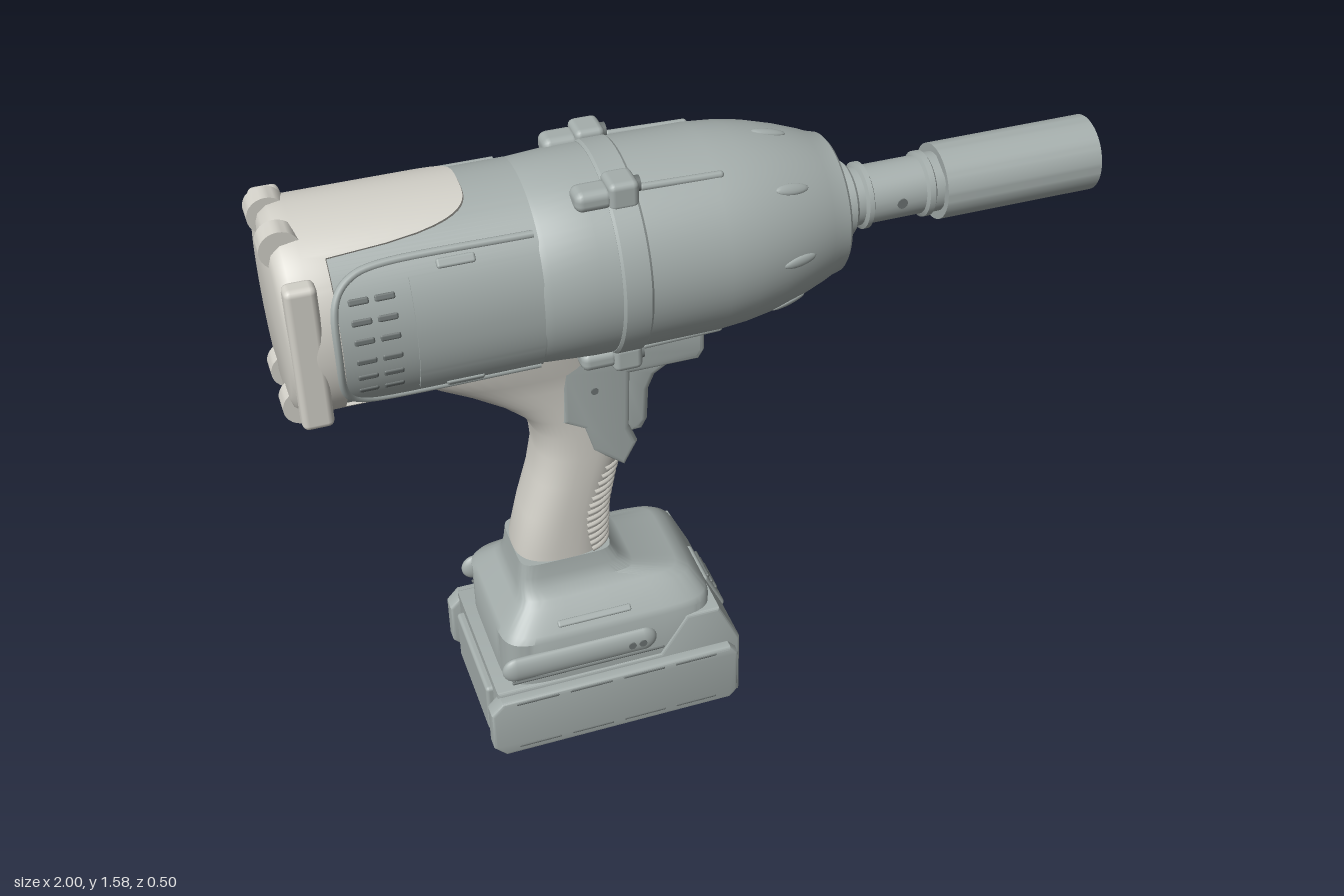
import * as THREE from 'three';
import { toCreasedNormals } from 'three/addons/utils/BufferGeometryUtils.js';
import { RoundedBoxGeometry } from 'three/addons/geometries/RoundedBoxGeometry.js';

const CY = 1.327; // height of the drive axis
const TAU = Math.PI * 2;
const body = new THREE.MeshStandardMaterial({ color: 0xa5aeac });
const pale = new THREE.MeshStandardMaterial({ color: 0xd2d0c8 });
const dark = new THREE.MeshStandardMaterial({ color: 0x6c7372 });

// Skin a list of rings with n points each, closing both ends
function loft(rings, crease = 0.6) {
  const n = rings[0].length, pos = [], idx = [];
  rings.forEach(r => r.forEach(p => pos.push(...p)));
  for (let i = 0; i < rings.length - 1; i++) for (let j = 0; j < n; j++) {
    const a = i * n + j, b = i * n + (j + 1) % n;
    idx.push(a, a + n, b, b, a + n, b + n);
  }
  [0, rings.length - 1].forEach(k => {
    const c = pos.length / 3, mid = [0, 1, 2].map(d => rings[k].reduce((s, p) => s + p[d], 0) / n);
    pos.push(...mid);
    for (let j = 0; j < n; j++) {
      const a = k * n + j, b = k * n + (j + 1) % n;
      if (k) idx.push(c, b, a); else idx.push(c, a, b);
    }
  });
  const g = new THREE.BufferGeometry();
  g.setAttribute('position', new THREE.Float32BufferAttribute(pos, 3));
  g.setIndex(idx);
  return toCreasedNormals(g, crease);
}

const pw = (v, e) => Math.sign(v) * Math.abs(v) ** (2 / e);
// Horizontal superellipse point for a row [y, rear x, front x, half depth]
const rowPoint = ([y, x0, x1, hz], t, e) =>
  [(x0 + x1) / 2 + (x1 - x0) / 2 * pw(Math.cos(t), e), y, hz * pw(Math.sin(t), e)];
const rowLoft = (rows, e, n = 48) =>
  loft(rows.map(r => Array.from({ length: n }, (_, j) => rowPoint(r, j / n * TAU, e))));

// Motor housing section; t runs from the top towards -z
const motorPoint = (x, t, off) =>
  [x, CY + (0.234 + off) * pw(Math.cos(t), 2.15), -(0.22 + off) * pw(Math.sin(t), 2.15)];
const motorLoft = list => loft(list.map(([x, off]) => Array.from({ length: 144 }, (_, j) => {
  const t = j / 144 * TAU;
  return motorPoint(typeof x === 'function' ? x(t) : x, t, off);
})));

// Raised plate on the motor side, with skirts around its edge
function sidePlate(half, x0, x1, off, sign) {
  const N = 32, rings = [];
  for (let i = 0; i <= N; i++) {
    const v = (i / N) * 2 - 1, t = sign * Math.PI / 2 + v * half;
    const inner = -0.015, a = x0(v);
    rings.push([motorPoint(a, t, inner), motorPoint(a, t, off), motorPoint(x1, t, off), motorPoint(x1, t, inner)]);
  }
  return loft(rings.reverse().map(r => r.reverse()).reverse(), 0.5);
}

function lathe(points, seg = 64) {
  const g = new THREE.LatheGeometry(points.map(([x, r]) => new THREE.Vector2(r, x)), seg);
  return toCreasedNormals(g.rotateZ(-Math.PI / 2).translate(0, CY, 0), 0.5);
}

// Side outline given thickness between -half and +half in z
function slab(points, half, bevel = 0.01) {
  const s = new THREE.Shape(points.map(p => new THREE.Vector2(...p)));
  const g = new THREE.ExtrudeGeometry(s, { depth: 2 * (half - bevel), bevelThickness: bevel,
    bevelSize: bevel, bevelOffset: -bevel, bevelSegments: 3 });
  return toCreasedNormals(g.translate(0, 0, bevel - half), 0.6);
}

export function createModel() {
  const root = new THREE.Group();
  const add = (name, geo, mat = body, x = 0, y = 0, z = 0) => {
    const m = new THREE.Mesh(geo, mat);
    m.name = name;
    m.position.set(x, y, z);
    root.add(m);
    return m;
  };
  const rbox = (w, h, d, r = 0.01) => new RoundedBoxGeometry(w, h, d, 2, r);
  const disc = (r, len, axis = 'z') => {
    const g = new THREE.CylinderGeometry(r, r, len, 24);
    return axis === 'z' ? g.rotateX(Math.PI / 2) : axis === 'x' ? g.rotateZ(Math.PI / 2) : g;
  };

  // Hammer case and nose
  add('hammerCase', lathe([[-0.43, 0], [-0.43, 0.228], [-0.41, 0.235], [-0.3, 0.242], [-0.18, 0.243], [0, 0.242],
    [0.07, 0.236], [0.14, 0.224], [0.21, 0.204], [0.27, 0.182], [0.29, 0.173], [0.315, 0.166], [0.322, 0.158],
    [0.322, 0.105], [0.31, 0.1], [0.31, 0]]));
  add('collar', lathe([[-0.256, 0.23], [-0.256, 0.244], [-0.25, 0.249], [-0.192, 0.249], [-0.186, 0.244], [-0.186, 0.23]]));
  for (let i = 0; i < 8; i++) {
    const dimple = add('noseFlute', new THREE.SphereGeometry(1, 16, 8), body);
    const a = i * TAU / 8;
    dimple.scale.set(0.045, 0.008, 0.014);
    dimple.position.set(0.17, CY + 0.214 * Math.cos(a), 0.214 * Math.sin(a));
    dimple.rotation.set(a, 0, -0.26, 'XYZ');
  }
  // Collar ears, bolts and ribs at the four corners
  for (const sz of [1, -1]) for (const sy of [1, -1]) {
    const y = CY + sy * 0.215, z = sz * 0.122;
    add('collarEar', rbox(0.07, 0.068, 0.078, 0.015), body, -0.221, y, z);
    add('boltBoss', rbox(0.09, 0.05, 0.066, 0.02), body, -0.285, y - sy * 0.004, z);
    add('bolt', disc(0.018, 0.012, 'x'), dark, -0.183, y + sy * 0.008, z);
    const rib = add('caseRib', new THREE.CapsuleGeometry(0.009, 0.18, 4, 10).rotateZ(Math.PI / 2), body, -0.08, CY + sy * 0.208, z);
    rib.rotation.z = -sy * 0.03;
  }
  add('sideButton', new THREE.CapsuleGeometry(0.022, 0.1, 6, 12), body, -0.3, CY, -0.234);

  // Drive shaft and hex socket
  add('driveShaft', lathe([[0.3, 0.09], [0.365, 0.09], [0.372, 0.083], [0.372, 0.07], [0.395, 0.07], [0.4, 0.08], [0.412, 0.08],
    [0.417, 0.07], [0.55, 0.07], [0.555, 0.079], [0.57, 0.079], [0.575, 0.072], [0.6, 0.072], [0.6, 0.06], [0.78, 0.06], [0.78, 0]], 40));
  add('shaftPin', disc(0.013, 0.143), dark, 0.487, CY, 0);
  const ring = new THREE.Shape().absarc(0, 0, 0.092, 0, TAU);
  ring.holes.push(new THREE.Path(Array.from({ length: 6 }, (_, i) =>
    new THREE.Vector2(0.083 * Math.sin(i * TAU / 6), 0.083 * Math.cos(i * TAU / 6)))));
  add('socket', toCreasedNormals(new THREE.ExtrudeGeometry(ring, { depth: 0.405, bevelEnabled: false, curveSegments: 32 })
    .rotateY(Math.PI / 2), 0.5), body, 0.595, CY, 0);
  add('socketBase', disc(0.09, 0.01, 'x'), body, 0.603, CY, 0);

  // Motor housing with pale end cap; tongues run forward above and below
  add('motorHousing', motorLoft([[-0.97, -0.02], [-0.95, 0], [-0.42, 0]]));
  const tongue = (a, w, len) => len * Math.sqrt(Math.max(0, 1 - (a / w) ** 4));
  const capEdge = t => {
    const a = Math.min(t, TAU - t);
    return -0.87 + tongue(a, 0.64, 0.32) + tongue(Math.PI - a, 0.74, 0.4);
  };
  add('endCap', motorLoft([[-0.982, -0.035], [-0.975, -0.015], [-0.955, 0.001], [-0.92, 0.007],
    [capEdge, 0.007], [t => capEdge(t) + 0.004, -0.004]]), pale);
  for (const sz of [1, -1]) {
    for (const y of [CY + 0.204, CY - 0.204])
      add('bumper', toCreasedNormals(new THREE.CylinderGeometry(0.045, 0.045, 0.052, 28).rotateX(Math.PI / 2), 0.6), pale, -0.955, y, sz * 0.072);
    add('capSideStep', rbox(0.07, 0.36, 0.05, 0.015), pale, -0.94, CY, sz * 0.201);

    // Side panel, cover, vents and clips
    const arch = v => -0.88 + 0.13 * (1 - Math.sqrt(Math.max(0, 1 - v ** 4)));
    add('sidePanel', sidePlate(0.78, arch, -0.425, 0.006, -sz)).material = body;
    add('panelCover', sidePlate(0.6, () => -0.71, -0.43, 0.011, -sz));
    const edge = [];
    for (let i = 0; i <= 40; i++) {
      const v = i / 20 - 1;
      edge.push(new THREE.Vector3(...motorPoint(arch(v), -sz * Math.PI / 2 + v * 0.78, 0.004)));
    }
    for (const [k, v] of [[0, -1], [1, 1]]) {
      const end = new THREE.Vector3(...motorPoint(-0.43, -sz * Math.PI / 2 + v * 0.78, 0.004));
      k ? edge.push(end) : edge.unshift(end);
    }
    add('panelRim', new THREE.TubeGeometry(new THREE.CatmullRomCurve3(edge, false, 'centripetal'), 100, 0.009, 8));
    for (let r = 0; r < 6; r++) for (const x of [-0.822, -0.766]) {
      const dy = (r - 2.5) * 0.042, t = -sz * Math.acos(dy / 0.234);
      const p = motorPoint(x, t, 0.002);
      const slot = add('ventSlot', rbox(0.045, 0.016, 0.014, 0.005), dark, ...p);
      slot.rotation.x = -sz * dy / 0.234;
    }
    for (const sy of [1, -1]) {
      const clip = add('panelClip', rbox(0.085, 0.022, 0.02, 0.006), body, ...motorPoint(-0.605, -sz * (Math.PI / 2 - sy * 0.67), 0.004));
      clip.rotation.x = -sz * sy * 0.6;
    }
  }

  // Handle
  const rows = [[0.43, -0.49, -0.25, 0.098], [0.52, -0.49, -0.25, 0.098], [0.62, -0.465, -0.245, 0.1], [0.72, -0.435, -0.225, 0.1],
    [0.8, -0.42, -0.2, 0.1], [0.87, -0.425, -0.2, 0.1], [0.92, -0.45, -0.205, 0.1], [0.97, -0.51, -0.2, 0.1],
    [1.02, -0.59, -0.2, 0.102], [1.06, -0.665, -0.2, 0.106], [1.11, -0.74, -0.2, 0.12], [1.2, -0.76, -0.2, 0.12]];
  add('handle', rowLoft(rows, 2.6), pale);
  const rowAt = y => {
    const i = rows.findIndex(r => r[0] > y), a = rows[i - 1], b = rows[i], f = (y - a[0]) / (b[0] - a[0]);
    return a.map((v, k) => v + (b[k] - v) * f);
  };
  // Grip ridges around the front of the handle
  for (let i = 0; i < 13; i++) {
    const row = rowAt(0.505 + i * 0.0205), span = 1.15 + 0.2 * Math.sin(i / 12 * Math.PI);
    const pts = Array.from({ length: 21 }, (_, j) => new THREE.Vector3(...rowPoint(row, (j / 10 - 1) * span, 2.6)));
    add('gripRidge', new THREE.TubeGeometry(new THREE.CatmullRomCurve3(pts), 32, 0.007, 6), pale);
  }

  // Trigger and its housing
  add('triggerHousing', slab([[-0.46, 1.14], [-0.43, 1.07], [-0.37, 1.05], [-0.37, 0.92], [-0.32, 0.89], [-0.3, 0.82], [-0.22, 0.755],
    [-0.185, 0.82], [-0.205, 0.87], [-0.2, 1.025], [-0.03, 1.025], [-0.015, 1.05], [-0.015, 1.14]], 0.104, 0.015));
  add('trigger', slab([[-0.23, 1.04], [-0.085, 1.04], [-0.09, 1.01], [-0.13, 0.985], [-0.145, 0.95], [-0.15, 0.86], [-0.165, 0.832],
    [-0.195, 0.83], [-0.23, 0.87]], 0.078, 0.018));
  add('housingScrew', disc(0.018, 0.01, 'x'), dark, -0.014, 1.06, 0);
  add('directionButton', disc(0.027, 0.02), body, -0.29, 1.0, -0.106);
  add('pivotPin', disc(0.009, 0.01), dark, -0.29, 1.0, 0.102);

  // Foot
  add('foot', rowLoft([[0.18, -0.57, -0.02, 0.2], [0.335, -0.57, -0.02, 0.204], [0.35, -0.56, -0.025, 0.195], [0.395, -0.515, -0.06, 0.15],
    [0.41, -0.505, -0.09, 0.135], [0.43, -0.5, -0.2, 0.112], [0.46, -0.495, -0.235, 0.103], [0.5, -0.49, -0.255, 0.098]], 7, 72));

  // Battery pack
  add('battery', slab([[-0.6, 0], [0.045, 0], [0.045, 0.19], [-0.012, 0.31], [-0.1, 0.31], [-0.17, 0.2], [-0.6, 0.2]], 0.205, 0.008));
  for (const s of [1, -1]) {
    add('batterySide', slab([[-0.625, 0.04], [-0.595, 0.008], [0.01, 0.008], [0.03, 0.03], [0.03, 0.165], [0.01, 0.188],
      [-0.595, 0.188], [-0.625, 0.155]], 0.024, 0.008), body, 0, 0, s * 0.208);
    for (const y of [0.03, 0.178]) for (let i = 0; i < 4; i++)
      add('sideSeam', rbox(0.11, 0.006, 0.006, 0.002), dark, -0.505 + i * 0.14, y, s * 0.231);
    const rail = add('footRail', new THREE.CapsuleGeometry(0.036, 0.33, 8, 20).rotateZ(Math.PI / 2), body, -0.382, 0.27, s * 0.202);
    rail.scale.z = 0.5;
    for (const x of [-0.25, -0.222]) add('railScrew', disc(0.01, 0.008), dark, x, 0.27, s * 0.218);
    add('footGroove', rbox(0.4, 0.007, 0.008, 0.003), dark, -0.36, 0.222, s * 0.2);
    const slot = add('footSlot', rbox(0.19, 0.018, 0.012, 0.005), body, -0.335, 0.366, s * 0.18);
    slot.rotation.x = -s * 0.78;
    for (const x of [-0.54, -0.02]) add('baseScrew', disc(0.018, 0.006, 'y'), pale, x, 0.003, s * 0.165);
  }
  // Front latch and ribs
  const latch = add('latch', rbox(0.022, 0.125, 0.14, 0.01), body, 0.02, 0.235, 0);
  latch.rotation.z = 0.44;
  for (let i = 0; i < 3; i++) {
    const bar = add('latchRidge', rbox(0.012, 0.01, 0.1, 0.004), dark, 0.034 - i * 0.011, 0.23 + i * 0.024, 0);
    bar.rotation.z = 0.44;
  }
  add('latchLip', rbox(0.012, 0.012, 0.14, 0.004), dark, 0.044, 0.167, 0);
  for (let i = 0; i < 5; i++)
    add('frontSlot', rbox(0.008, 0.09, 0.03, 0.003), dark, 0.043, 0.056, (i - 2) * 0.05);
  add('rearPlate', rbox(0.03, 0.15, 0.3, 0.01), body, -0.603, 0.098, 0);
  return root;
}
